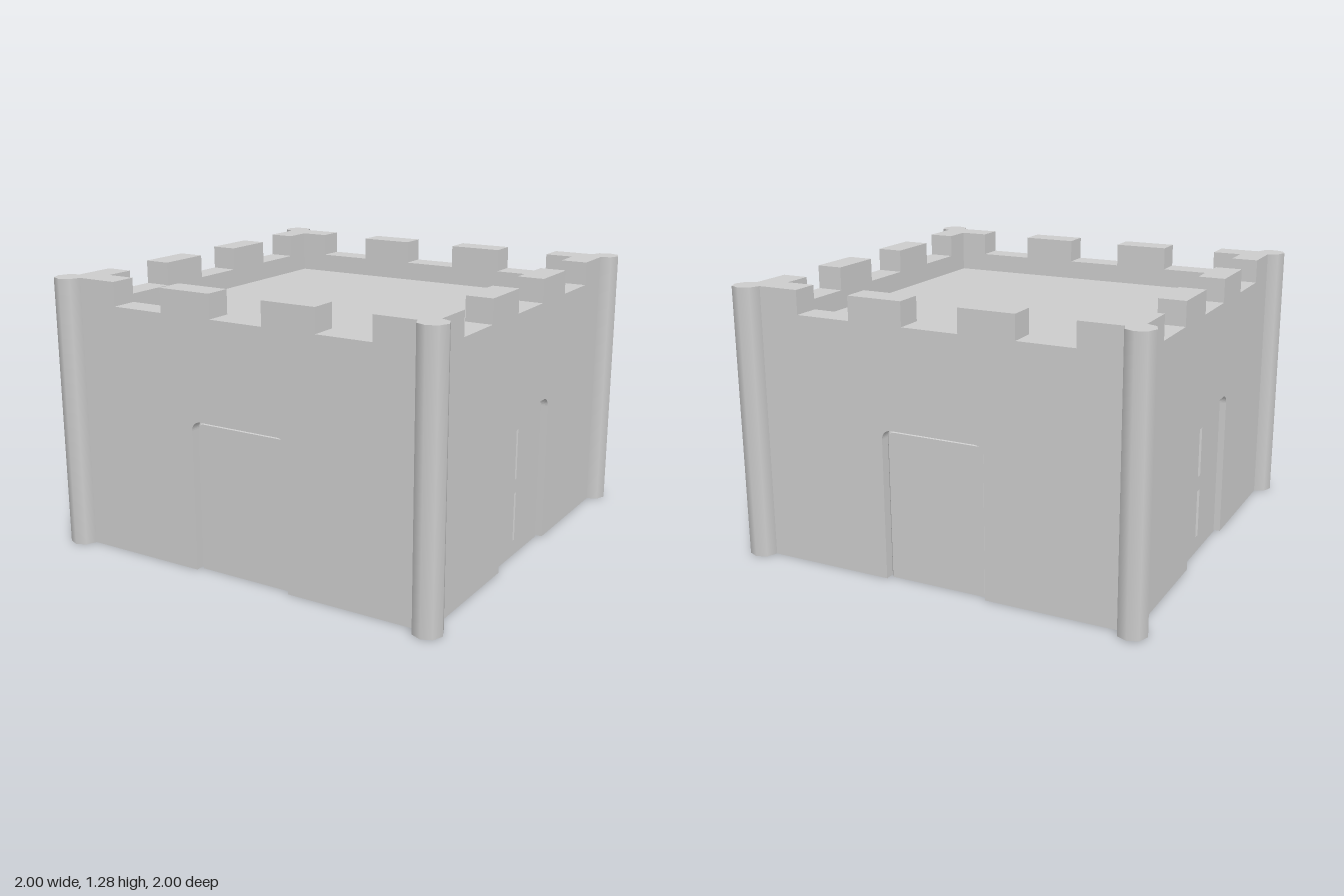
import * as THREE from 'three';

const OUT = 0.932, INN = 0.805;        // outer and inner wall faces
const TOP = 1.283, CREN = 1.172;       // merlon and crenel heights
const ROOF = 1.08;
const DOOR_W = 0.25, DOOR_H = 0.705, DOOR_R = 0.045;
const GROOVE = 0.885;                  // z of the door's recessed back
const BEVEL = 0.016, RAISE = 0.02;

const material = new THREE.MeshStandardMaterial({ color: 0xcccccc });

function mesh(name, geometry) {
  const m = new THREE.Mesh(geometry, material);
  m.name = name;
  return m;
}

// Left-to-right outline of the round-cornered doorway, inset by e
function traceDoor(path, e) {
  const w = DOOR_W - e, h = DOOR_H - e, r = DOOR_R - e;
  path.lineTo(-w, 0);
  path.lineTo(-w, h - r);
  path.absarc(-w + r, h - r, r, Math.PI, Math.PI / 2, true);
  path.lineTo(w - r, h);
  path.absarc(w - r, h - r, r, Math.PI / 2, 0, true);
  path.lineTo(w, 0);
}

function doorShape(e) {
  const s = new THREE.Shape();
  s.moveTo(-DOOR_W + e, 0);
  traceDoor(s, e);
  s.closePath();
  return s;
}

// Battlemented wall with a doorway, mitred at both ends
function wallGeometry() {
  const s = new THREE.Shape();
  s.moveTo(-OUT, 0);
  traceDoor(s, 0);
  s.lineTo(OUT, 0);
  s.lineTo(OUT, TOP);
  for (const [a, b] of [[0.667, 0.4], [0.135, -0.135], [-0.4, -0.667]]) {
    s.lineTo(a, TOP);
    s.lineTo(a, CREN);
    s.lineTo(b, CREN);
    s.lineTo(b, TOP);
  }
  s.lineTo(-OUT, TOP);
  s.closePath();
  const g = new THREE.ExtrudeGeometry(s, { depth: OUT - INN, bevelEnabled: false, curveSegments: 5 });
  g.translate(0, 0, INN);
  const p = g.attributes.position;
  for (let i = 0; i < p.count; i++) {
    if (Math.abs(p.getX(i)) > 0.9) p.setX(i, Math.sign(p.getX(i)) * p.getZ(i));
  }
  g.computeVertexNormals();
  return g;
}

// Door leaf with chamfered rim and four chamfered panes
function leafGeometry() {
  const s = doorShape(BEVEL);
  for (const x of [-0.177, 0.021]) {
    for (const y of [0.07, 0.375]) {
      const w = 0.153, h = 0.24;
      s.holes.push(new THREE.Path([
        new THREE.Vector2(x, y), new THREE.Vector2(x, y + h),
        new THREE.Vector2(x + w, y + h), new THREE.Vector2(x + w, y)]));
    }
  }
  const depth = 0.01;
  const g = new THREE.ExtrudeGeometry(s, {
    depth, bevelEnabled: true, bevelSegments: 1, bevelSize: BEVEL, bevelThickness: RAISE, curveSegments: 5,
  });
  g.translate(0, 0, GROOVE - depth);
  // Keep the foot of the door on the ground
  const p = g.attributes.position;
  for (let i = 0; i < p.count; i++) p.setY(i, Math.max(0, p.getY(i)));
  g.computeVertexNormals();
  return g;
}

export function createModel() {
  const model = new THREE.Group();
  model.name = 'castleKeep';

  // Solid core: flat roof and underside
  const core = mesh('roofAndFloor', new THREE.BoxGeometry(INN * 2, ROOF, INN * 2));
  core.position.y = ROOF / 2;
  model.add(core);

  const wall = wallGeometry();
  const back = new THREE.ExtrudeGeometry(doorShape(0), { depth: GROOVE - INN, bevelEnabled: false, curveSegments: 5 });
  back.translate(0, 0, INN);
  const leaf = leafGeometry();
  const pillar = new THREE.CylinderGeometry(0.068, 0.068, TOP, 8);

  // Four identical sides, each with a corner pillar
  ['front', 'left', 'back', 'right'].forEach((name, i) => {
    const side = new THREE.Group();
    side.name = name + 'Side';
    side.rotation.y = i * Math.PI / 2;
    const post = mesh('cornerPillar', pillar);
    post.position.set(OUT, TOP / 2, OUT);
    side.add(mesh('wall', wall), mesh('doorRecess', back), mesh('doorLeaf', leaf), post);
    model.add(side);
  });
  return model;
}
